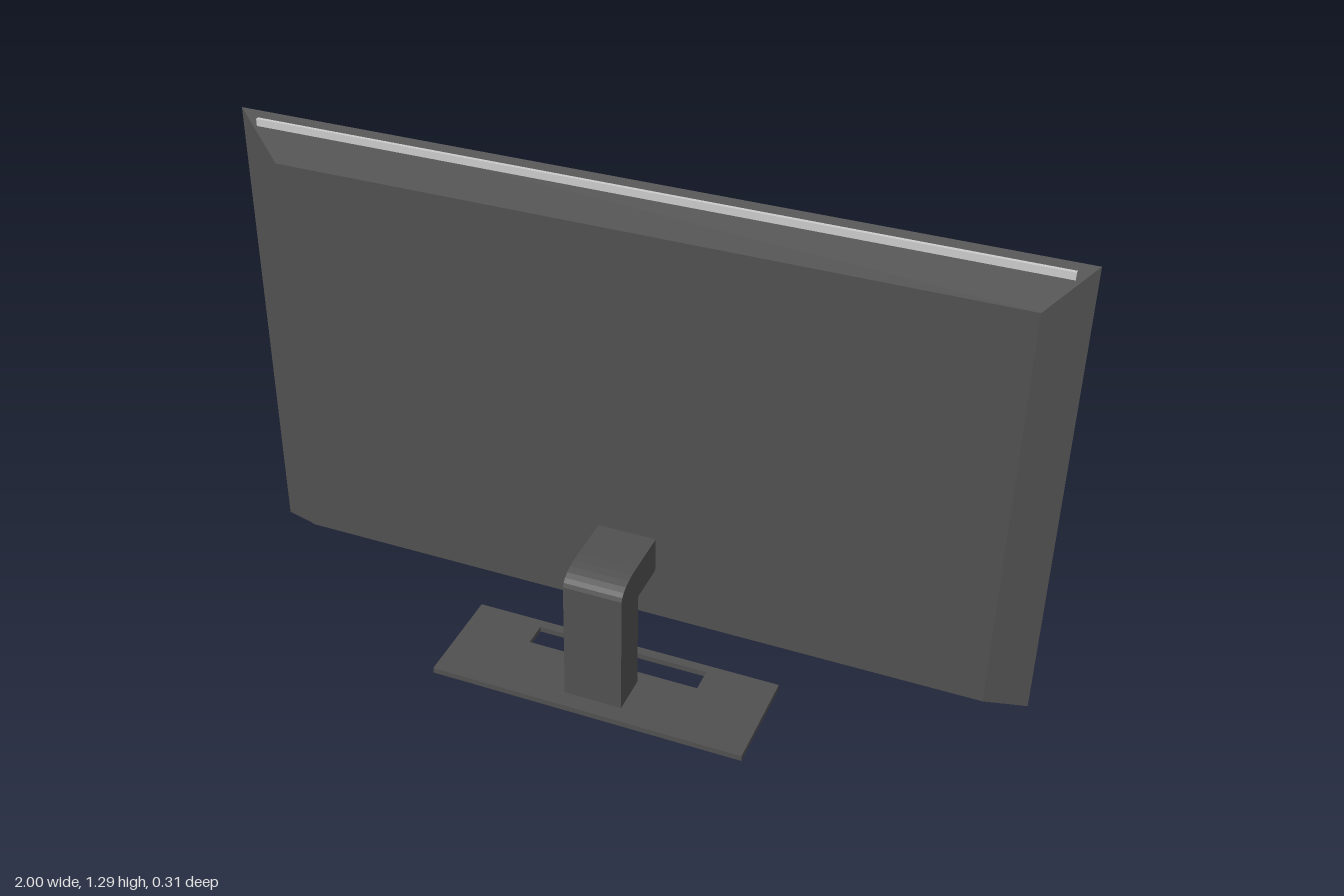
import * as THREE from 'three';

const dark = new THREE.MeshStandardMaterial({ color: 0x505050 });
const glass = new THREE.MeshStandardMaterial({ color: 0xaaaaaa });
const silver = new THREE.MeshStandardMaterial({ color: 0xcccccc });

// Rectangle of four corners, counter-clockwise seen from +z
const ring = (halfWidth, bottom, top, z) => [
  [-halfWidth, bottom, z], [halfWidth, bottom, z], [halfWidth, top, z], [-halfWidth, top, z],
];

// Joins successive rectangles with quads and caps the first one
function loftRings(rings) {
  const positions = [];
  const quad = (a, b, c, d) => positions.push(...a, ...b, ...c, ...a, ...c, ...d);
  quad(...rings[0]);
  for (let r = 0; r < rings.length - 1; r++) {
    const a = rings[r], b = rings[r + 1];
    for (let i = 0; i < 4; i++) {
      const j = (i + 1) % 4;
      quad(a[i], b[i], b[j], a[j]);
    }
  }
  const geometry = new THREE.BufferGeometry();
  geometry.setAttribute('position', new THREE.Float32BufferAttribute(positions, 3));
  geometry.computeVertexNormals();
  return geometry;
}

export function createModel() {
  const model = new THREE.Group();
  const add = (name, geometry, material, x = 0, y = 0, z = 0) => {
    const mesh = new THREE.Mesh(geometry, material);
    mesh.name = name;
    mesh.position.set(x, y, z);
    model.add(mesh);
    return mesh;
  };

  // Housing: tapered back shell, bezel and the shallow recess behind it
  add('housing', loftRings([
    ring(0.9, 0.135, 1.185, -0.119),
    ring(1, 0.125, 1.295, -0.155),
    ring(0.957, 0.157, 1.262, -0.155),
    ring(0.953, 0.161, 1.258, -0.149),
  ]), dark);

  // Screen faces -z
  const screen = add('screen', new THREE.PlaneGeometry(1.906, 1.097), glass, 0, 0.7095, -0.149);
  screen.rotation.y = Math.PI;

  // Bright strip along the top of the back
  add('trimStrip', new THREE.BoxGeometry(1.91, 0.018, 0.01), silver, 0, 1.27, -0.146);

  // Arm: side profile in z and y, rounded at the outer elbow
  const profile = new THREE.Shape();
  profile.moveTo(0.11, 0.012);
  profile.lineTo(0.11, 0.343);
  profile.bezierCurveTo(0.105, 0.365, 0.075, 0.38, 0.02, 0.38);
  profile.lineTo(-0.105, 0.38);
  profile.lineTo(-0.105, 0.285);
  profile.lineTo(0.005, 0.285);
  profile.lineTo(0.005, 0.012);
  const arm = new THREE.ExtrudeGeometry(profile, { depth: 0.15, bevelEnabled: false, curveSegments: 6 });
  arm.rotateY(-Math.PI / 2);
  add('standArm', arm, dark, 0.075);

  // Base plate with a cable slot; plan drawn in x and -z
  const rectangle = (path, x0, x1, z0, z1) =>
    path.setFromPoints([[x0, -z1], [x1, -z1], [x1, -z0], [x0, -z0]].map(p => new THREE.Vector2(...p)));
  const plan = rectangle(new THREE.Shape(), -0.415, 0.402, -0.12, 0.155);
  plan.holes.push(rectangle(new THREE.Path(), -0.235, 0.22, -0.095, -0.03));
  const base = new THREE.ExtrudeGeometry(plan, { depth: 0.015, bevelEnabled: false });
  base.rotateX(-Math.PI / 2);
  add('standBase', base, dark);

  return model;
}
